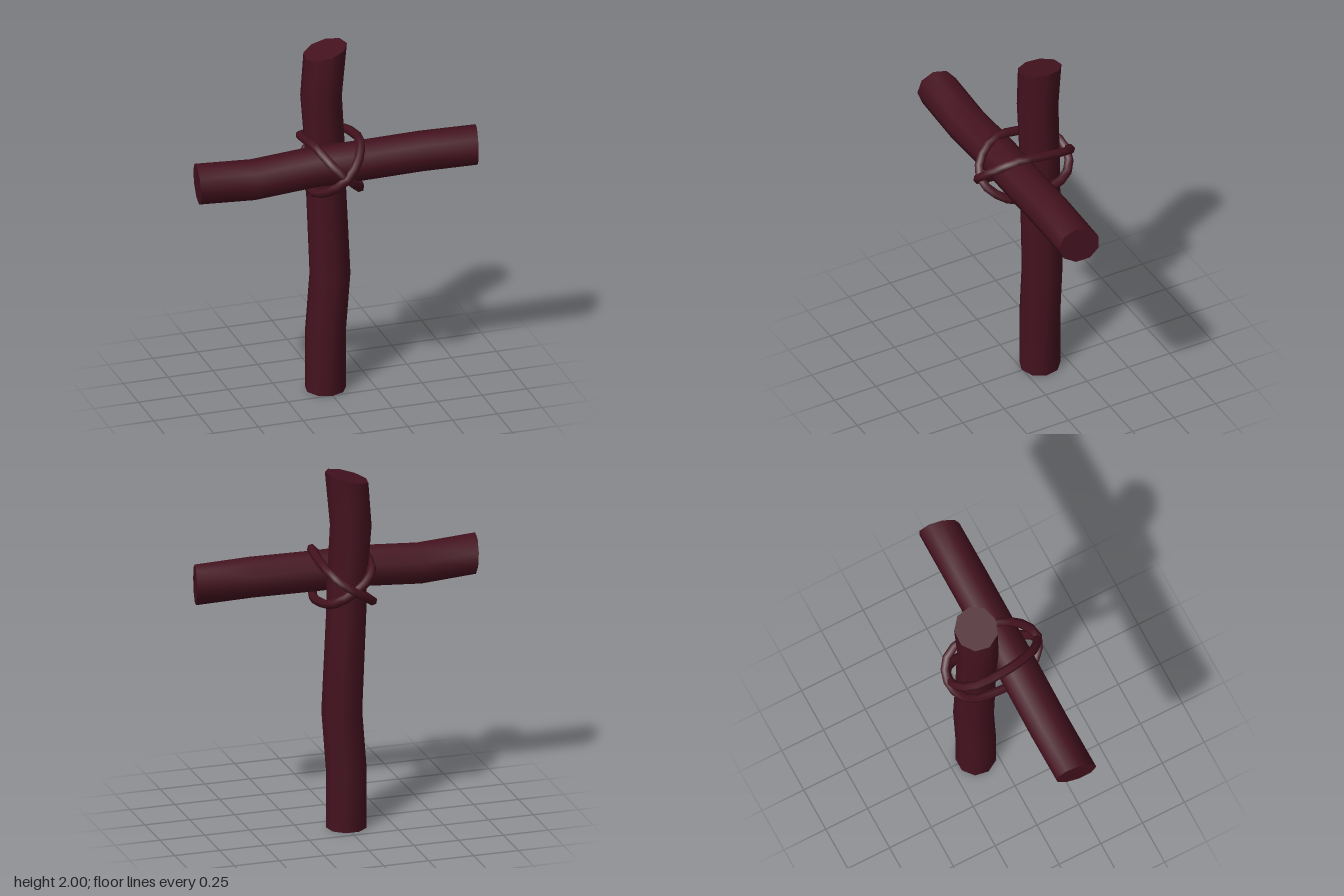
import * as THREE from 'three';
import { toCreasedNormals } from 'three/addons/utils/BufferGeometryUtils.js';

const material = new THREE.MeshStandardMaterial({ color: 0x44121f });

// Crooked nine-sided log along y. Each ring: [height, sideways offset, radius, slope over x, slope over z]
function logGeometry(rings) {
  const sides = 9, last = rings.length - 1;
  const geometry = new THREE.CylinderGeometry(1, 1, last, sides, last);
  const pos = geometry.attributes.position;
  for (let i = 0; i < pos.count; i++) {
    const [h, offset, r, sx = 0, sz = 0] = rings[Math.round(pos.getY(i) + last / 2)];
    const x = pos.getX(i) * r, z = pos.getZ(i) * r;
    pos.setXYZ(i, x + offset, h + sx * x + sz * z, z);
  }
  return geometry;
}

// Closed lashing loop: half the path is listed, the other half is its point reflection in x and y
function lashing(name, mirror, scale) {
  const half = [
    [0, 0, 0.265], [0.075, 0.075, 0.215], [0.125, 0.132, 0.1],
    [0.135, 0.118, -0.05], [0.115, 0.085, -0.2], [0.045, 0.03, -0.265],
  ];
  const right = half.map(([x, y, z]) => new THREE.Vector3(x * mirror, y, z));
  const left = half.slice(1).reverse().map(([x, y, z]) => new THREE.Vector3(-x * mirror, -y, z));
  const points = [...right, ...left].map((p) => p.multiplyScalar(scale));
  const path = new THREE.CatmullRomCurve3(points, true, 'centripetal');
  const mesh = new THREE.Mesh(new THREE.TubeGeometry(path, 22, 0.025, 6, true), material);
  mesh.name = name;
  mesh.position.set(-0.005, 1.373, 0);
  return mesh;
}

export function createModel() {
  const group = new THREE.Group();
  group.name = 'lashedCross';

  // Upright log with a slanted top
  const post = new THREE.Mesh(toCreasedNormals(logGeometry([
    [0, -0.005, 0.11], [0.33, -0.005, 0.11], [0.66, 0.02, 0.11], [1.22, -0.005, 0.108],
    [1.36, -0.007, 0.108], [1.7, -0.03, 0.112], [1.97, -0.007, 0.117, 0.27],
  ]), Math.PI / 3), material);
  post.name = 'uprightPost';
  post.position.z = -0.105;
  group.add(post);

  // Cross log in front of the post, its ends cut at an angle
  const beamGeometry = logGeometry([
    [-0.785, 0, 0.111, 0.05, -0.14], [-0.47, 0.02, 0.111], [-0.13, -0.004, 0.111],
    [0.12, -0.003, 0.11], [0.47, -0.008, 0.11], [0.775, 0, 0.109, 0, -0.23],
  ]).rotateZ(-Math.PI / 2);
  const beam = new THREE.Mesh(toCreasedNormals(beamGeometry, Math.PI / 3), material);
  beam.name = 'crossBeam';
  beam.position.set(0, 1.383, 0.085);
  group.add(beam);

  // Two crossed rope loops
  group.add(lashing('lashingRising', 1, 1), lashing('lashingFalling', -1, 0.97));
  return group;
}
